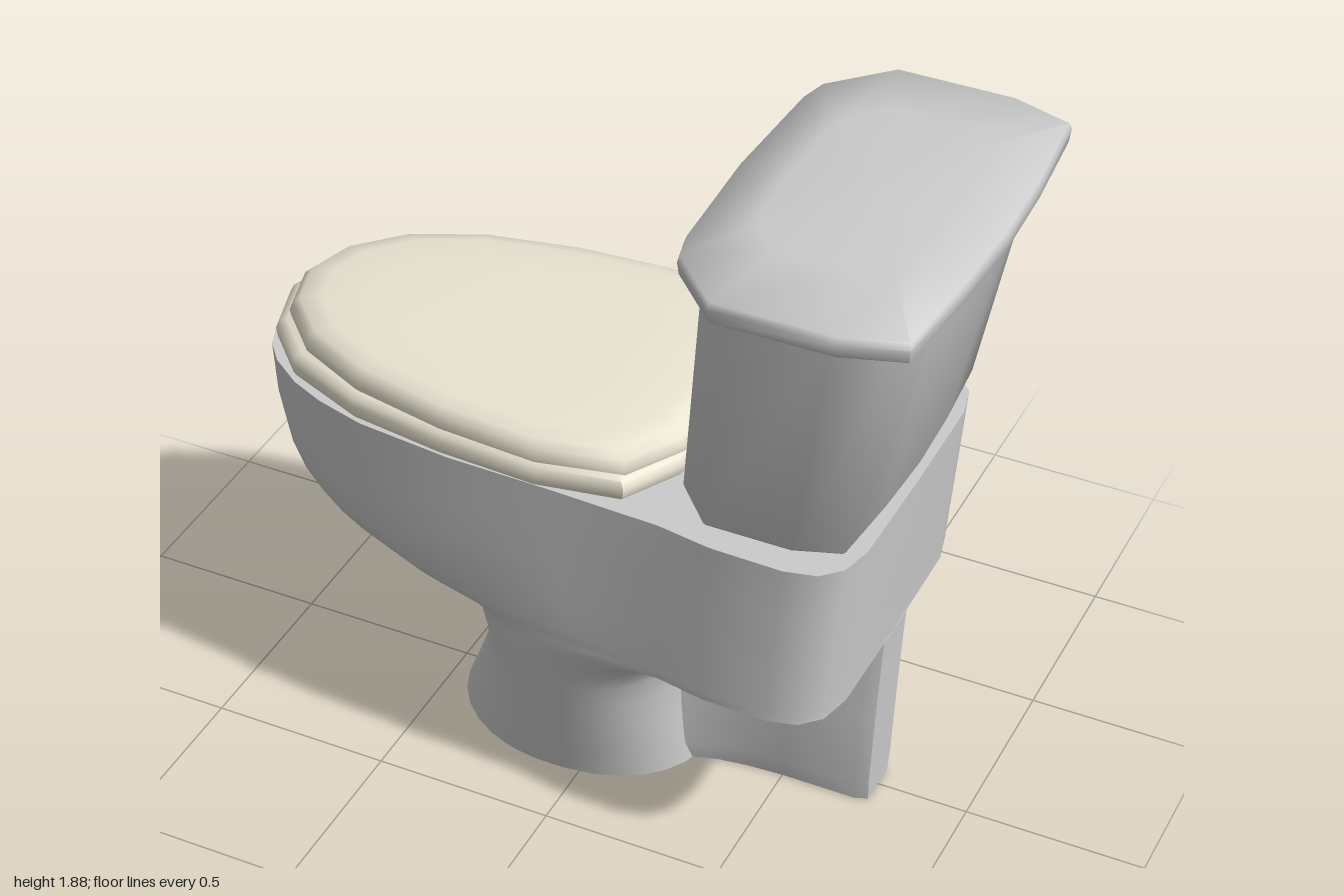
import * as THREE from 'three';
import { toCreasedNormals } from 'three/addons/utils/BufferGeometryUtils.js';

const { clamp, smoothstep } = THREE.MathUtils;
const paint = (color, side = THREE.FrontSide) => new THREE.MeshStandardMaterial({ color, side });

// Plan outlines as [x, z], from the front tip round one side to the back.
const BOWL = [[-1, 0], [-0.985, 0.1], [-0.95, 0.19], [-0.9, 0.25], [-0.81, 0.315], [-0.71, 0.36], [-0.57, 0.4],
  [-0.3, 0.43], [0, 0.437], [0.3, 0.45], [0.45, 0.475], [0.65, 0.48], [0.735, 0.46], [0.785, 0.41], [0.807, 0.32], [0.81, 0]];
const SEAT = [[-1, 0], [-0.95, 0.165], [-0.83, 0.29], [-0.6, 0.385], [-0.33, 0.425], [-0.05, 0.44], [0.18, 0.4], [0.27, 0.24], [0.285, 0]];
const COVER = [[-0.96, 0], [-0.92, 0.14], [-0.8, 0.265], [-0.6, 0.36], [-0.33, 0.415], [-0.05, 0.435], [0.18, 0.385], [0.27, 0.23], [0.285, 0]];
const TANK = [[0.3, 0], [0.315, 0.35], [0.335, 0.43], [0.48, 0.578], [0.8, 0.578], [0.965, 0.525], [0.99, 0.25], [1, 0]];
const TRAP = [[0.2, 0], [0.21, 0.15], [0.26, 0.13], [0.32, 0.11], [0.4, 0.097], [0.5, 0.09], [0.71, 0.09], [0.745, 0.075], [0.745, 0]];

// Closed ring at height y from a half outline, each point passed through fn.
function ring(half, y, fn = (x, z) => [x, z]) {
  const pts = half.map(([x, z]) => fn(x, z));
  const back = pts.slice(1, -1).reverse().map(([x, z]) => [x, -z]);
  return [...pts, ...back].map(([x, z]) => new THREE.Vector3(x, y, z));
}

// Oval ring; a power below 1 makes its rear half squarer.
function oval(xf, xb, zr, y, rearPower = 1) {
  const n = BOWL.length - 1;
  return ring(BOWL.map((_, i) => {
    const a = (i / n) * Math.PI, c = Math.cos(a), power = c < 0 ? rearPower : 1;
    const x = (xf + xb) / 2 - Math.sign(c) * Math.abs(c) ** power * (xb - xf) / 2;
    return [x, i % n ? zr * Math.sin(a) ** power : 0];
  }), y);
}

// Scale an outline about its own middle; used for rounded rims.
function scaled(half, y, s) {
  const c = (half[0][0] + half[half.length - 1][0]) / 2;
  return ring(half, y, (x, z) => [c + (x - c) * s, z * s]);
}

// Skin a stack of rings from bottom to top; the floor end may stay open.
function loft(name, rings, material, crease = 0.75, open = false) {
  const pos = [];
  const tri = (a, b, c) => { for (const p of [a, b, c]) pos.push(p.x, p.y, p.z); };
  const n = rings[0].length;
  const middle = (r) => new THREE.Box3().setFromPoints(r).getCenter(new THREE.Vector3());
  const top = rings[rings.length - 1], lo = middle(rings[0]), hi = middle(top);
  for (let j = 0; j < n; j++) {
    const k = (j + 1) % n;
    for (let i = 0; i < rings.length - 1; i++) {
      const a = rings[i], b = rings[i + 1];
      tri(a[j], a[k], b[k]);
      tri(a[j], b[k], b[j]);
    }
    if (!open) tri(lo, rings[0][k], rings[0][j]);
    tri(hi, top[j], top[k]);
  }
  const geo = new THREE.BufferGeometry();
  geo.setAttribute('position', new THREE.Float32BufferAttribute(pos, 3));
  const mesh = new THREE.Mesh(toCreasedNormals(geo, crease), material);
  mesh.name = name;
  return mesh;
}

export function createModel() {
  const model = new THREE.Group();
  model.name = 'toilet';
  const china = paint(0xcccccc), hollow = paint(0xcccccc, THREE.DoubleSide);
  const cream = paint(0xe9e3d1), metal = paint(0xa8a8c8);

  // Pedestal: waisted in front, sweeping out under the bowl and rear block.
  // Each row: height, front x, back x, half width, rear squareness.
  const pedestal = [[0, -0.465, 0.27, 0.31, 0.85], [0.1, -0.425, 0.255, 0.335, 0.82], [0.2, -0.388, 0.245, 0.36, 0.8],
    [0.3, -0.362, 0.24, 0.384, 0.77], [0.38, -0.36, 0.245, 0.402, 0.73], [0.45, -0.376, 0.27, 0.418, 0.68],
    [0.505, -0.4, 0.35, 0.43, 0.6], [0.535, -0.46, 0.5, 0.437, 0.55]];

  // Bowl: rounded underside in front, square block at the back.
  // Each row: height, front x, back x, width factor of the front part.
  const bowl = [[0.555, -0.6, 0.77, 0.84], [0.575, -0.69, 0.771, 0.88], [0.6, -0.77, 0.773, 0.91], [0.65, -0.87, 0.777, 0.945],
    [0.71, -0.93, 0.782, 0.97], [0.79, -0.967, 0.789, 0.985], [0.9, -0.99, 0.798, 0.995], [1.05, -1, 0.81, 1]];
  model.add(loft('bowlAndPedestal', [
    ...pedestal.map(([y, a, b, z, power]) => oval(a, b, z, y, power)),
    ...bowl.map(([y, xf, xb, f]) => ring(BOWL, y, (x, z) => {
      const t = smoothstep(-x, 0.15, 0.9);
      const nx = x < 0.3 ? 0.3 + (x - 0.3) * (0.3 - xf) / 1.3 : x - (0.81 - xb) * clamp((x - 0.3) / 0.4, 0, 1);
      return [nx, z * (1 - (1 - f) * t)];
    })),
  ], hollow, 0.9, true));

  // Trap housing: narrow fin blending into the pedestal and the block.
  // Each row: height, rearward shift, width factor, top flare.
  const trap = [[0, 0, 0.88, 0], [0.06, 0.002, 1, 0], [0.3, 0.012, 1, 0], [0.42, 0.018, 1, 0.02], [0.5, 0.022, 1, 0.05], [0.556, 0.026, 1, 0.1]];
  model.add(loft('trapHousing', trap.map(([y, dx, w, flare]) => ring(TRAP, y, (x, z) =>
    [x + dx, z * w + (z > 0 ? flare * clamp((0.65 - x) / 0.3, 0, 1) : 0)])), china));

  // Seat ring and closed cover.
  const seat = [[1.045, 0.98], [1.06, 0.995], [1.085, 1], [1.105, 0.985], [1.117, 0.95]];
  model.add(loft('seat', seat.map(([y, s]) => scaled(SEAT, y, s)), cream));
  const cover = [[1.12, 0.995], [1.135, 1], [1.16, 0.985], [1.179, 0.95], [1.19, 0.85], [1.197, 0.6]];
  model.add(loft('seatCover', cover.map(([y, s]) => scaled(COVER, y, s)), cream, 1));

  // Neck flaring from the bowl to the underside of the tank.
  model.add(loft('tankNeck', [oval(0.42, 0.68, 0.24, 1.04), oval(0.42, 0.68, 0.25, 1.065), oval(0.37, 0.73, 0.4, 1.1)], china));

  // Tank: leans back and widens upwards.
  const tank = [[1.088, 0.34, 0.77, 0.41], [1.097, 0.3, 0.8, 0.45], [1.11, 0.292, 0.812, 0.46], [1.8, 0.355, 0.94, 0.525]];
  model.add(loft('tank', tank.map(([y, a, b, zr]) => ring(TANK, y, (x, z) =>
    [a + (x - 0.3) / 0.7 * (b - a), z / 0.578 * zr])), china, 1.3));

  // Tank lid with a rounded rim and sloping top.
  const lid = [[1.79, 0.97], [1.8, 0.99], [1.835, 1], [1.853, 0.985], [1.876, 0.6]];
  model.add(loft('tankLid', lid.map(([y, s]) => scaled(TANK, y, s)), china, 1.2));

  // Flush lever on the front corner of the tank.
  const lever = new THREE.Group();
  lever.name = 'flushLever';
  const arm = new THREE.Mesh(new THREE.BoxGeometry(0.045, 0.045, 0.16), metal);
  arm.name = 'leverArm';
  arm.position.set(0.345, 1.71, -0.45);
  arm.rotation.set(-0.1, -0.25, 0);
  const hub = new THREE.Mesh(new THREE.CylinderGeometry(0.025, 0.025, 0.08, 12).rotateZ(Math.PI / 2), metal);
  hub.name = 'leverHub';
  hub.position.set(0.355, 1.715, -0.4);
  lever.add(arm, hub);
  model.add(lever);

  return model;
}
